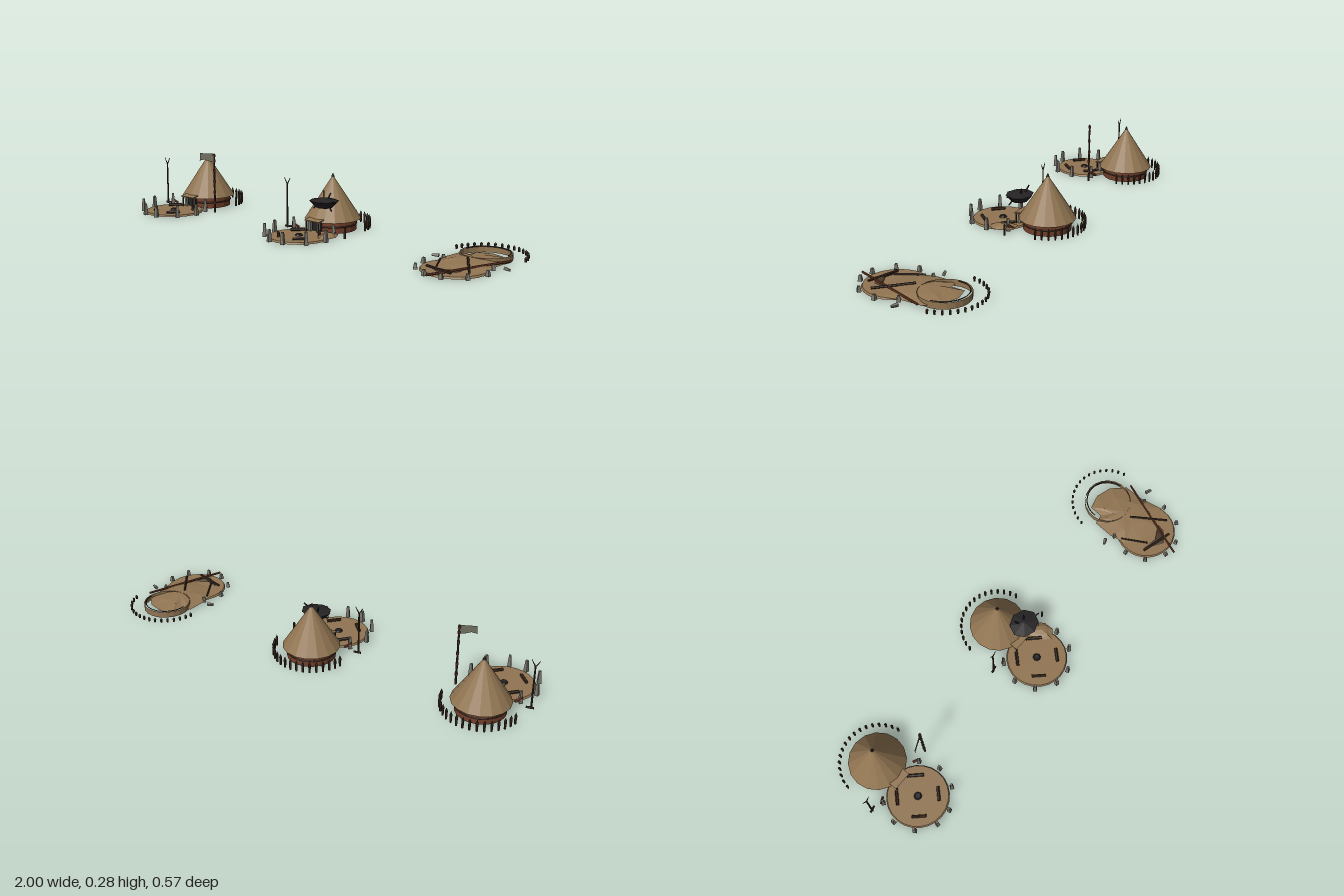
import * as THREE from 'three';

const mat = (name, color, side = THREE.FrontSide) =>
  Object.assign(new THREE.MeshStandardMaterial({ color, flatShading: true, side }), { name });

export function createModel() {
  const M = {
    hide: mat('tan hide', 0x917552),
    hideThin: mat('tan hide sheet', 0x917552, THREE.DoubleSide),
    wall: mat('red clay', 0x733f2a, THREE.DoubleSide),
    wood: mat('dark wood', 0x3b2b20),
    redWood: mat('red wood', 0x6b3823),
    stone: mat('grey stone', 0x77746a),
    cloth: mat('grey cloth', 0x6f6f60, THREE.DoubleSide),
    char: mat('charred black', 0x262325),
    burnt: mat('burnt hide', 0x4c3b2a, THREE.DoubleSide),
  };
  const HZ = -0.113, YZ = 0.113; // hut and yard centres

  function add(parent, name, geo, material, x = 0, y = 0, z = 0) {
    const m = new THREE.Mesh(geo, material);
    m.name = name;
    m.position.set(x, y, z);
    parent.add(m);
    return m;
  }
  // Round bar between two points
  function bar(parent, name, a, b, r, material, rTop = r, sides = 6) {
    const A = new THREE.Vector3(...a), B = new THREE.Vector3(...b);
    const d = B.clone().sub(A);
    const m = add(parent, name, new THREE.CylinderGeometry(rTop, r, d.length(), sides), material);
    m.position.copy(A).add(B).multiplyScalar(0.5);
    m.quaternion.setFromUnitVectors(new THREE.Vector3(0, 1, 0), d.normalize());
    return m;
  }
  // Fan-shaped sheet with a raised middle, from an outline in x and z
  function sheet(parent, name, outline, centre, edgeY, midY, peakY, material) {
    const pos = [...[centre[0], peakY, centre[1]]], idx = [], n = outline.length;
    outline.forEach(([x, z], i) => {
      const k = i % 2 ? 0.45 : 0.6;
      pos.push(centre[0] + (x - centre[0]) * k, midY, centre[1] + (z - centre[1]) * k, x, edgeY, z);
    });
    for (let i = 0; i < n; i++) {
      const a = 1 + 2 * i, b = 1 + 2 * ((i + 1) % n);
      idx.push(0, b, a, a, b, b + 1, a, b + 1, a + 1);
    }
    const g = new THREE.BufferGeometry();
    g.setAttribute('position', new THREE.Float32BufferAttribute(pos, 3));
    g.setIndex(idx);
    g.computeVertexNormals();
    return add(parent, name, g, material);
  }

  // Round yard with fire pit, log seats and standing stones
  function yard(g, ruined) {
    add(g, 'yardFloor', new THREE.CylinderGeometry(0.132, 0.137, 0.008, 24), M.hide, 0, 0.004, YZ);
    if (!ruined) {
      add(g, 'firePit', new THREE.CylinderGeometry(0.013, 0.018, 0.008, 8), M.char, 0, 0.012, YZ);
      for (const sx of [-1, 1]) for (const sz of [-1, 1])
        bar(g, 'logSeat', [sx * 0.085, 0.015, YZ + sz * 0.04], [sx * 0.042, 0.015, YZ + sz * 0.085], 0.007, M.wood);
    }
    for (const s of [-1, 1]) [15, 54, 92, 129].forEach((deg, i) => {
      const a = s * deg * Math.PI / 180, h = ruined ? 0.024 : 0.054 + 0.004 * (i % 2);
      const m = add(g, 'standingStone', new THREE.CylinderGeometry(0.007, 0.012, h, 4),
        M.stone, 0.15 * Math.sin(a), h / 2, YZ + 0.15 * Math.cos(a));
      m.rotation.y = a + Math.PI / 4;
    });
  }

  // Pointed stakes in an arc behind the hut
  function palisade(g, h) {
    for (let i = 0; i <= 16; i++) {
      const a = (10 + 10 * i) * Math.PI / 180;
      const x = 0.166 * Math.cos(a), z = HZ - 0.166 * Math.sin(a);
      add(g, 'stake', new THREE.CylinderGeometry(0.006, 0.0045, h * 0.7, 6), M.wood, x, 0.008 + h * 0.35, z);
      add(g, 'stakePoint', new THREE.ConeGeometry(0.006, h * 0.3, 6), M.wood, x, 0.008 + h * 0.85, z);
    }
  }

  // Conical hut with a porch
  function hut(g) {
    add(g, 'wall', new THREE.CylinderGeometry(0.107, 0.107, 0.052, 20, 1, true), M.wall, 0, 0.026, HZ);
    const rail = add(g, 'wallRail', new THREE.TorusGeometry(0.108, 0.003, 4, 20), M.wood, 0, 0.028, HZ);
    rail.rotation.x = Math.PI / 2;
    add(g, 'roof', new THREE.ConeGeometry(0.127, 0.195, 16), M.hide, 0, 0.1475, HZ);
    add(g, 'roofTip', new THREE.ConeGeometry(0.008, 0.018, 8), M.wood, 0, 0.246, HZ);
    add(g, 'doorway', new THREE.BoxGeometry(0.05, 0.045, 0.008), M.char, 0, 0.0225, -0.006);
    const awning = add(g, 'awning', new THREE.BoxGeometry(0.085, 0.004, 0.042), M.hide, 0, 0.06, 0.01);
    awning.rotation.x = 0.2;
    for (const s of [-1, 1]) {
      bar(g, 'porchPost', [s * 0.035, 0, 0.025], [s * 0.035, 0.058, 0.025], 0.004, M.wood);
      add(g, 'doorStone', new THREE.BoxGeometry(0.014, 0.052, 0.012), M.stone, s * 0.024, 0.026, 0.012);
      bar(g, 'sideLog', [s * 0.10, 0.01, 0.0], [s * 0.125, 0.03, 0.018], 0.006, M.redWood);
    }
  }

  // Thin pole with a forked top
  function forkPole(g) {
    const x = -0.17;
    bar(g, 'forkPole', [x, 0, 0.003], [x, 0.2, 0.003], 0.0045, M.wood, 0.0035);
    for (const s of [-1, 1])
      bar(g, 'forkProng', [x, 0.198, 0.003], [x + s * 0.018, 0.228, 0.003], 0.003, M.wood, 0.0012, 5);
    bar(g, 'poleFoot', [x - 0.012, 0.006, 0.003], [x + 0.02, 0.006, -0.004], 0.005, M.wood);
  }

  // Banded pole with a hanging flag
  function flagPole(g) {
    const x = 0.17, z = 0.005;
    bar(g, 'flagPole', [x, 0, z], [x, 0.285, z], 0.005, M.wood, 0.004);
    for (const y of [0.05, 0.1, 0.15, 0.205, 0.25, 0.275])
      bar(g, 'poleBand', [x, y - 0.006, z], [x, y + 0.006, z], 0.0065, M.redWood);
    const s = new THREE.Shape();
    [[0, 0], [0.072, 0], [0.074, -0.036], [0.05, -0.03], [0.025, -0.038], [0, -0.04]]
      .forEach(([u, v], i) => (i ? s.lineTo(u, v) : s.moveTo(u, v)));
    const flag = add(g, 'flag', new THREE.ShapeGeometry(s), M.cloth, x, 0.285, z);
    flag.rotation.y = Math.PI + 0.43;
  }

  // Charred platform wreck lodged in the roof, with spikes
  function wreck(g) {
    const w = new THREE.Group();
    w.name = 'charredWreck';
    w.position.set(0.047, 0.145, 0);
    const bowl = new THREE.CylinderGeometry(0.06, 0.034, 0.03, 8);
    add(w, 'wreckBowl', bowl, M.char, 0, -0.008, 0).scale.x = 1.15;
    add(w, 'wreckTop', new THREE.ConeGeometry(0.06, 0.014, 8), M.char, 0, 0.014, 0).scale.x = 1.15;
    [[-0.03, 0.045, -0.03], [0.02, 0.04, -0.02], [0.06, -0.03, 0.02], [-0.045, -0.03, 0.02], [0.078, 0.012, 0.02]]
      .forEach((p) => bar(w, 'wreckSpike', [p[0] * 0.4, 0, p[2] * 0.4], p, 0.005, M.char, 0.003, 5));
    g.add(w);
    bar(g, 'brokenPole', [0.17, 0, 0.005], [0.17, 0.05, 0.005], 0.005, M.wood);
    sheet(g, 'tornHide', [[0.06, 0.0], [0.12, -0.01], [0.15, 0.04], [0.15, 0.085], [0.11, 0.11], [0.07, 0.07]],
      [0.11, 0.05], 0.01, 0.022, 0.028, M.hideThin);
  }

  // Flattened remains
  function ruin(g) {
    add(g, 'ruinWall', new THREE.CylinderGeometry(0.107, 0.107, 0.028, 20, 1, true), M.hideThin, 0, 0.014, HZ);
    const rail = add(g, 'ruinRail', new THREE.TorusGeometry(0.098, 0.0025, 4, 20, Math.PI), M.wood, 0, 0.028, HZ);
    rail.rotation.x = -Math.PI / 2;
    sheet(g, 'collapsedRoof', [[-0.07, -0.157], [-0.004, -0.172], [0.066, -0.15], [0.12, -0.09], [0.117, 0],
      [0.135, 0.1], [0.05, 0.15], [-0.06, 0.13], [-0.115, 0.08], [-0.127, 0], [-0.12, -0.09], [-0.075, -0.095]],
    [0, -0.02], 0.009, 0.022, 0.028, M.hideThin);
    sheet(g, 'burntPatch', [[-0.085, 0.16], [-0.02, 0.18], [0.06, 0.14], [0.05, 0.18], [0.0, 0.22], [-0.03, 0.2]],
      [0, 0.18], 0.010, 0.014, 0.016, M.burnt);
    bar(g, 'fallenPole', [0.135, 0.02, -0.08], [-0.01, 0.013, 0.284], 0.005, M.redWood);
    bar(g, 'fallenBeam', [0.0, 0.03, 0.02], [0.1, 0.016, 0.16], 0.005, M.wood);
    bar(g, 'fallenBeam', [-0.09, 0.014, 0.17], [0.05, 0.016, 0.21], 0.005, M.wood);
    bar(g, 'fallenBeam', [-0.11, 0.015, 0.05], [-0.05, 0.016, 0.16], 0.004, M.wood);
    for (const s of [-1, 1])
      bar(g, 'toppledStone', [s * 0.155, 0.009, -0.005], [s * 0.182, 0.009, 0.006], 0.009, M.stone, 0.006, 4);
  }

  const root = new THREE.Group();
  root.name = 'campStages';
  ['intactCamp', 'damagedCamp', 'ruinedCamp'].forEach((name, i) => {
    const g = new THREE.Group();
    g.name = name;
    g.position.x = (i - 1) * 0.812;
    yard(g, i === 2);
    palisade(g, i === 2 ? 0.022 : 0.054);
    if (i < 2) { hut(g); forkPole(g); }
    if (i === 0) flagPole(g);
    if (i === 1) wreck(g);
    if (i === 2) ruin(g);
    root.add(g);
  });
  return root;
}
